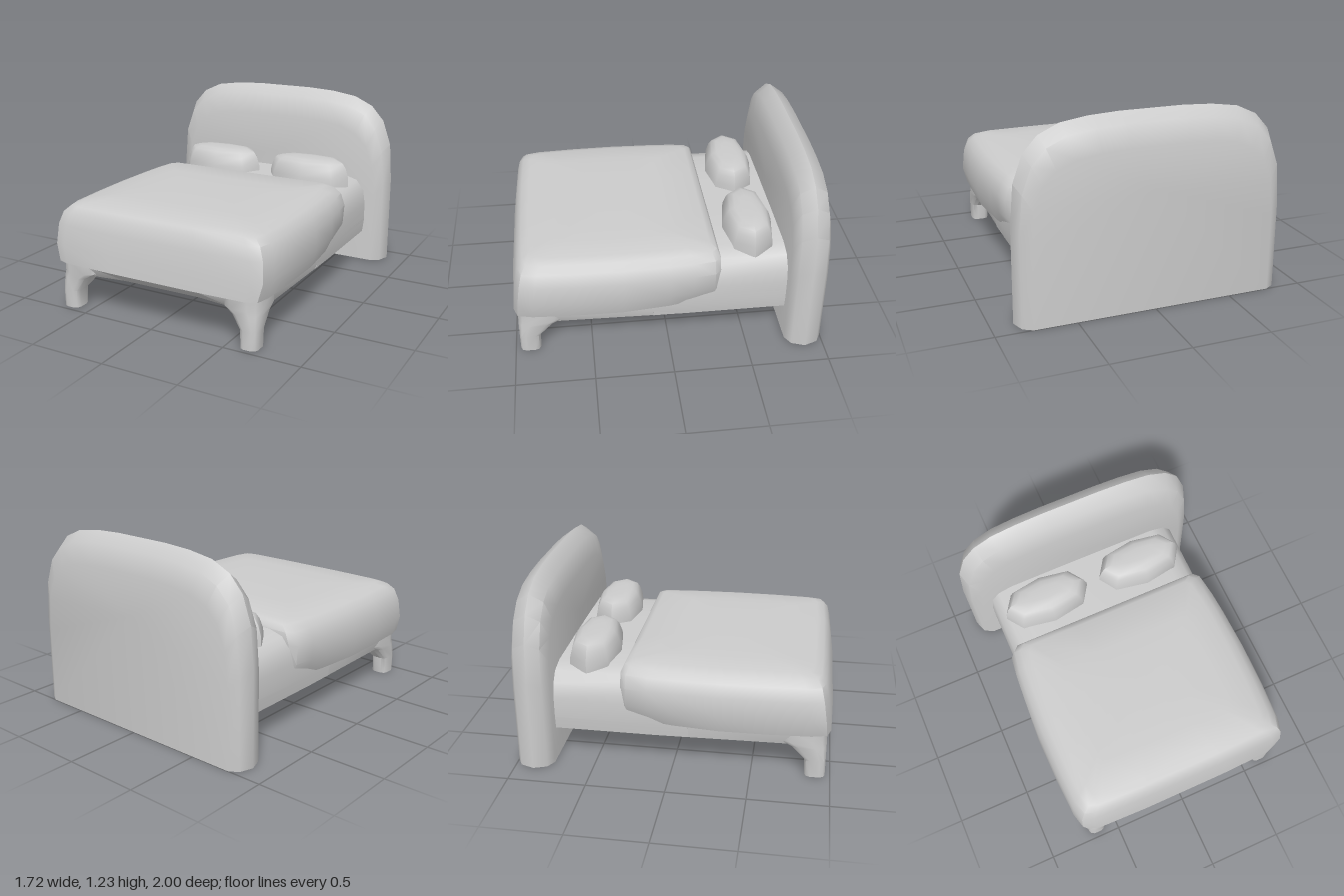
import * as THREE from 'three';
import { toCreasedNormals } from 'three/addons/utils/BufferGeometryUtils.js';

const material = new THREE.MeshStandardMaterial({ color: 0xcccccc });

// Skins a list of equal-length closed rings of [x, y, z] and caps both ends.
function loft(name, rings, crease = 0.75) {
  const n = rings[0].length, pos = [], index = [];
  rings.forEach(r => r.forEach(p => pos.push(...p)));
  for (let i = 0; i < rings.length - 1; i++) {
    for (let j = 0; j < n; j++) {
      const a = i * n + j, b = i * n + (j + 1) % n;
      index.push(a, b, a + n, b, b + n, a + n);
    }
  }
  [0, rings.length - 1].forEach((i, end) => {
    const c = pos.length / 3;
    pos.push(...[0, 1, 2].map(k => rings[i].reduce((s, p) => s + p[k], 0) / n));
    for (let j = 0; j < n; j++) {
      const a = i * n + j, b = i * n + (j + 1) % n;
      if (end) index.push(a, b, c); else index.push(b, a, c);
    }
  });
  // Turn the faces outward if the enclosed volume comes out negative
  const v = i => new THREE.Vector3().fromArray(pos, i * 3);
  let volume = 0;
  for (let i = 0; i < index.length; i += 3) {
    volume += v(index[i]).dot(v(index[i + 1]).cross(v(index[i + 2])));
  }
  if (volume < 0) index.reverse();
  const geometry = new THREE.BufferGeometry();
  geometry.setAttribute('position', new THREE.Float32BufferAttribute(pos, 3));
  geometry.setIndex(index);
  const mesh = new THREE.Mesh(toCreasedNormals(geometry, crease), material);
  mesh.name = name;
  return mesh;
}

// Closes a half outline by mirroring it in x
const mirror = half => [...half, ...half.map(([x, y]) => [-x, y]).reverse()];

// Headboard: arched outline, shrunk towards its front and back faces
function headboard() {
  const outline = mirror([[0.86, 0], [0.86, 0.6], [0.84, 0.86], [0.78, 1.03], [0.69, 1.13],
    [0.56, 1.19], [0.39, 1.215], [0.2, 1.225]]);
  const layers = [[-1, 0.895, 0.84], [-0.965, 0.965, 0.95], [-0.88, 1, 1],
    [-0.795, 0.965, 0.95], [-0.76, 0.895, 0.83]];
  return loft('headboard', layers.map(([z, sx, sy]) => outline.map(([x, y]) => [x * sx, y * sy, z])));
}

// Mattress: rounded section running from the headboard to under the blanket
function mattress() {
  const section = mirror([[0.7, 0.22], [0.71, 0.3], [0.71, 0.43], [0.695, 0.53], [0.64, 0.6], [0.54, 0.628], [0.2, 0.632]]);
  return loft('mattress', [-0.85, 0.1].map(z => section.map(([x, y]) => [x, y, z])));
}

// Frame: lower edge drawn inward between the legs
function frame() {
  const lower = mirror([[0.27, 0.87], [0.5, 0.9], [0.62, 0.91], [0.66, 0.86], [0.68, 0.73], [0.69, 0.3], [0.7, -0.1], [0.7, -0.85]]);
  const upper = mirror([[0.27, 0.96], [0.5, 0.96], [0.65, 0.96], [0.7, 0.91], [0.71, 0.73], [0.71, 0.3], [0.71, -0.1], [0.71, -0.85]]);
  const ring = (plan, y) => plan.map(([x, z]) => [x, y, z]);
  return loft('frame', [ring(lower, 0.218), ring(upper, 0.3), ring(upper, 0.36)]);
}

// Front leg: flares inward and backward where it meets the frame
function leg(side) {
  const levels = [[0, 0.585, 0.838], [0.115, 0.583, 0.833], [0.205, 0.52, 0.735], [0.24, 0.46, 0.66], [0.33, 0.46, 0.66]];
  const rings = levels.map(([y, x0, z0]) => {
    const x1 = 0.7 + y * 0.02, z1 = 0.968;
    return Array.from({ length: 12 }, (_, i) => {
      const a = (i + 0.5) * Math.PI / 6;
      const round = t => Math.sign(t) * Math.min(1, Math.abs(t) ** 0.6 * 1.02);
      return [side * ((x0 + x1) / 2 + round(Math.cos(a)) * (x1 - x0) / 2), y,
        (z0 + z1) / 2 + round(Math.sin(a)) * (z1 - z0) / 2];
    });
  });
  return loft(side > 0 ? 'leftFrontLeg' : 'rightFrontLeg', rings);
}

// Blanket: plan outline stacked upward with growing insets, hem tucked in at the head end
function blanket() {
  const plan = mirror([[0.3, 1], [0.66, 0.99], [0.735, 0.965], [0.76, 0.87], [0.775, 0.6], [0.78, 0.3],
    [0.77, 0], [0.76, -0.15], [0.742, -0.29], [0.7, -0.33], [0.3, -0.33]]);
  // height, side inset, foot inset, head inset, tuck
  const levels = [[0.31, 0.03, 0, 0, 0.06], [0.42, 0, 0.01, 0, 0.025], [0.55, 0.01, 0.03, 0, 0],
    [0.63, 0.04, 0.05, 0, 0], [0.67, 0.085, 0.08, 0.02, 0], [0.69, 0.14, 0.13, 0.06, 0],
    [0.703, 0.3, 0.32, 0.3, 0], [0.708, 0.5, 0.5, 0.45, 0]];
  const rings = levels.map(([y, side, foot, head, tuck]) => plan.map(([x, z]) => {
    const t = THREE.MathUtils.smoothstep(-z, -0.2, 0.25) * tuck;
    const sx = (0.78 - side) / 0.78 - t;
    return [x * sx, y, THREE.MathUtils.mapLinear(z, -0.33, 1, -0.33 + head, 1 - foot)];
  }));
  return loft('blanket', rings);
}

// Pillow: pointed eight-sided plan with a puffed top
function pillow(side) {
  const plan = [[0.305, 0], [0.225, 0.125], [0, 0.165], [-0.225, 0.125], [-0.305, 0], [-0.225, -0.125], [0, -0.165], [-0.225, -0.125]];
  plan[7][0] = 0.225;
  const levels = [[0.6, 1, 1], [0.67, 0.985, 0.97], [0.73, 0.92, 0.85], [0.765, 0.84, 0.72], [0.782, 0.68, 0.52], [0.787, 0.4, 0.28]];
  return loft(side > 0 ? 'leftPillow' : 'rightPillow',
    levels.map(([y, sx, sz]) => plan.map(([x, z]) => [side * 0.35 + x * sx, y, -0.555 + z * sz])), 0.85);
}

export function createModel() {
  const bed = new THREE.Group();
  bed.name = 'bed';
  bed.add(headboard(), mattress(), frame(), blanket());
  for (const side of [1, -1]) bed.add(leg(side), pillow(side));
  return bed;
}
